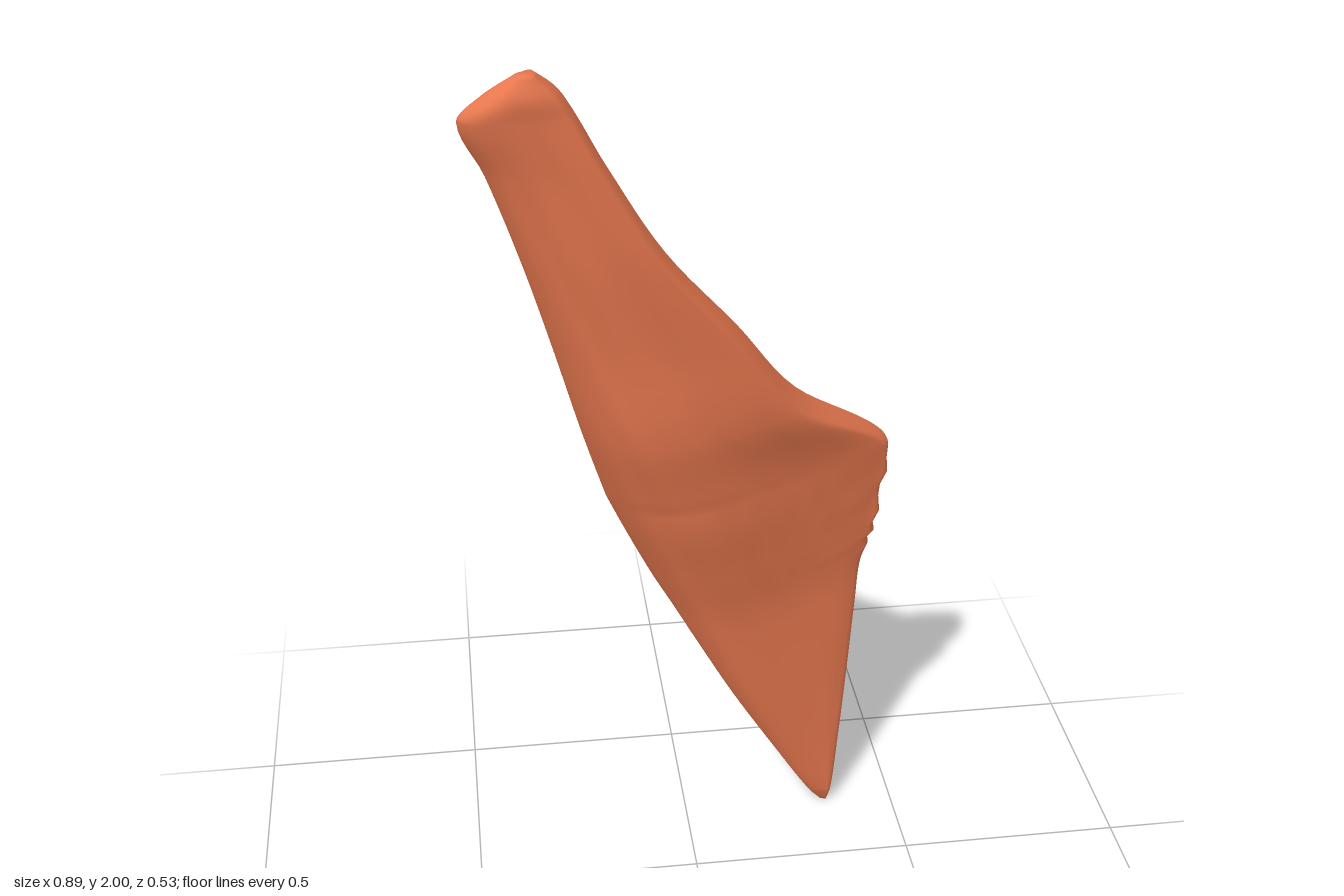
import * as THREE from 'three';

// Horizontal sections of the muscle, from the lower point to the upper tendon:
// y, left x, left z, right x, right front z, right back z, front bulge, back bulge
const SECTIONS = [
  [0, 0.33, -0.2, 0.345, -0.195, -0.222, 0, 0],
  [0.05, 0.295, -0.182, 0.352, -0.175, -0.24, 0.005, 0],
  [0.2, 0.21, -0.15, 0.362, -0.165, -0.252, 0.015, -0.006],
  [0.4, 0.1, -0.112, 0.376, -0.165, -0.262, 0.035, -0.015],
  [0.6, 0, -0.078, 0.388, -0.163, -0.272, 0.055, -0.024],
  [0.69, -0.045, -0.07, 0.394, -0.162, -0.274, 0.074, -0.024],
  [0.8, -0.1, -0.06, 0.418, -0.16, -0.214, 0.105, -0.012],
  [1.0, -0.185, -0.026, 0.44, -0.15, -0.207, 0.144, -0.008],
  [1.05, -0.2, -0.01, 0.4, -0.115, -0.197, 0.14, -0.006],
  [1.2, -0.24, 0.035, 0.215, 0.045, -0.1, 0.112, 0],
  [1.4, -0.29, 0.088, 0.072, 0.125, -0.006, 0.076, 0.003],
  [1.6, -0.343, 0.136, -0.078, 0.194, 0.084, 0.05, 0.005],
  [1.8, -0.405, 0.183, -0.192, 0.233, 0.13, 0.032, 0.01],
  [1.915, -0.449, 0.22, -0.25, 0.247, 0.15, 0.028, 0.012],
  [1.96, -0.405, 0.226, -0.277, 0.254, 0.168, 0.028, 0.01],
  [2.0, -0.345, 0.235, -0.315, 0.25, 0.21, 0.008, 0.003],
];
const RING = 72, STEPS = 6;

// Smooth interpolation between section i and the next
function sectionAt(i, t) {
  const at = k => SECTIONS[Math.min(Math.max(k, 0), SECTIONS.length - 1)];
  const [a, b, c, d] = [at(i - 1), at(i), at(i + 1), at(i + 2)];
  const h = c[0] - b[0];
  return b.map((v, k) => {
    if (k === 0) return v + h * t;
    // Flat tangent at a turning point, so that nothing overshoots
    const slope = (p, q, r) => (q[k] - p[k]) * (r[k] - q[k]) < 0 ? 0 : (r[k] - p[k]) / (r[0] - p[0]) * h;
    const m0 = slope(a, b, c), m1 = slope(b, c, d);
    const t2 = t * t, t3 = t2 * t;
    return (2 * t3 - 3 * t2 + 1) * v + (t3 - 2 * t2 + t) * m0 + (3 * t2 - 2 * t3) * c[k] + (t3 - t2) * m1;
  });
}

// Closed outline: thin left edge, bulging front, blunt right edge, flatter back
function outline([y, xL, zL, xR, zF, zB, front, back]) {
  const w = xR - xL;
  // Ragged attachment along the upper part of the right edge
  const ragged = y > 0.72 && y < 0.98 ? 0.007 * Math.sin(y * 130) : 0;
  const point = (t, zR, bulge) => new THREE.Vector3(xL + w * t, y, zL + (zR - zL) * t + bulge);
  const end = Math.min(0.025, w * 0.12) / w;
  const pts = [
    point(0, zF, 0),
    point(0.1, zF, front * 0.75), point(0.28, zF, front), point(0.65, zF, front * 0.6),
    point(1 - end, zF, front * 0.06), point(1, zF * 0.85 + zB * 0.15, 0),
    point(1, zF * 0.1 + zB * 0.9, 0), point(1 - end, zB, 0),
    point(0.65, zB, -back), point(0.35, zB, -back), point(0.1, zB, -Math.max(back, 0) - 0.1 * front),
  ];
  pts[5].x += ragged;
  const ring = new THREE.CatmullRomCurve3(pts, true).getPoints(RING).slice(0, RING);
  // Shallow fibre grooves running diagonally from the tendon to the right edge
  const depth = 0.0022 * Math.min(1, w / 0.4);
  for (const p of ring) {
    const fade = Math.max(0, Math.sin(Math.PI * (p.x - xL) / w));
    const across = p.x + 0.45 * y;
    p.z += depth * fade * (Math.sin(across * 60 + y * 2) + 0.6 * Math.sin(across * 95 - y * 4));
  }
  return ring;
}

function muscleGeometry() {
  const rings = [];
  for (let i = 0; i < SECTIONS.length - 1; i++)
    for (let k = 0; k < STEPS; k++) rings.push(outline(sectionAt(i, k / STEPS)));
  rings.push(outline(SECTIONS[SECTIONS.length - 1]));

  const points = rings.flat(), index = [];
  for (let i = 0; i < rings.length - 1; i++)
    for (let j = 0; j < RING; j++) {
      const a = i * RING + j, b = i * RING + (j + 1) % RING;
      index.push(a, b, b + RING, a, b + RING, a + RING);
    }
  // Close both ends with fans
  for (const r of [0, rings.length - 1]) {
    const centre = rings[r].reduce((s, p) => s.add(p), new THREE.Vector3()).divideScalar(RING);
    const c = points.push(centre) - 1;
    for (let j = 0; j < RING; j++) {
      const a = r * RING + j, b = r * RING + (j + 1) % RING;
      index.push(c, r ? a : b, r ? b : a);
    }
  }
  const geometry = new THREE.BufferGeometry().setFromPoints(points);
  geometry.setIndex(index);
  geometry.computeVertexNormals();
  return geometry;
}

export function createModel() {
  const group = new THREE.Group();
  group.name = 'flatMuscle';
  const muscle = new THREE.Mesh(muscleGeometry(), new THREE.MeshStandardMaterial({ color: 0xe8784f }));
  muscle.name = 'muscleBody';
  group.add(muscle);
  return group;
}
